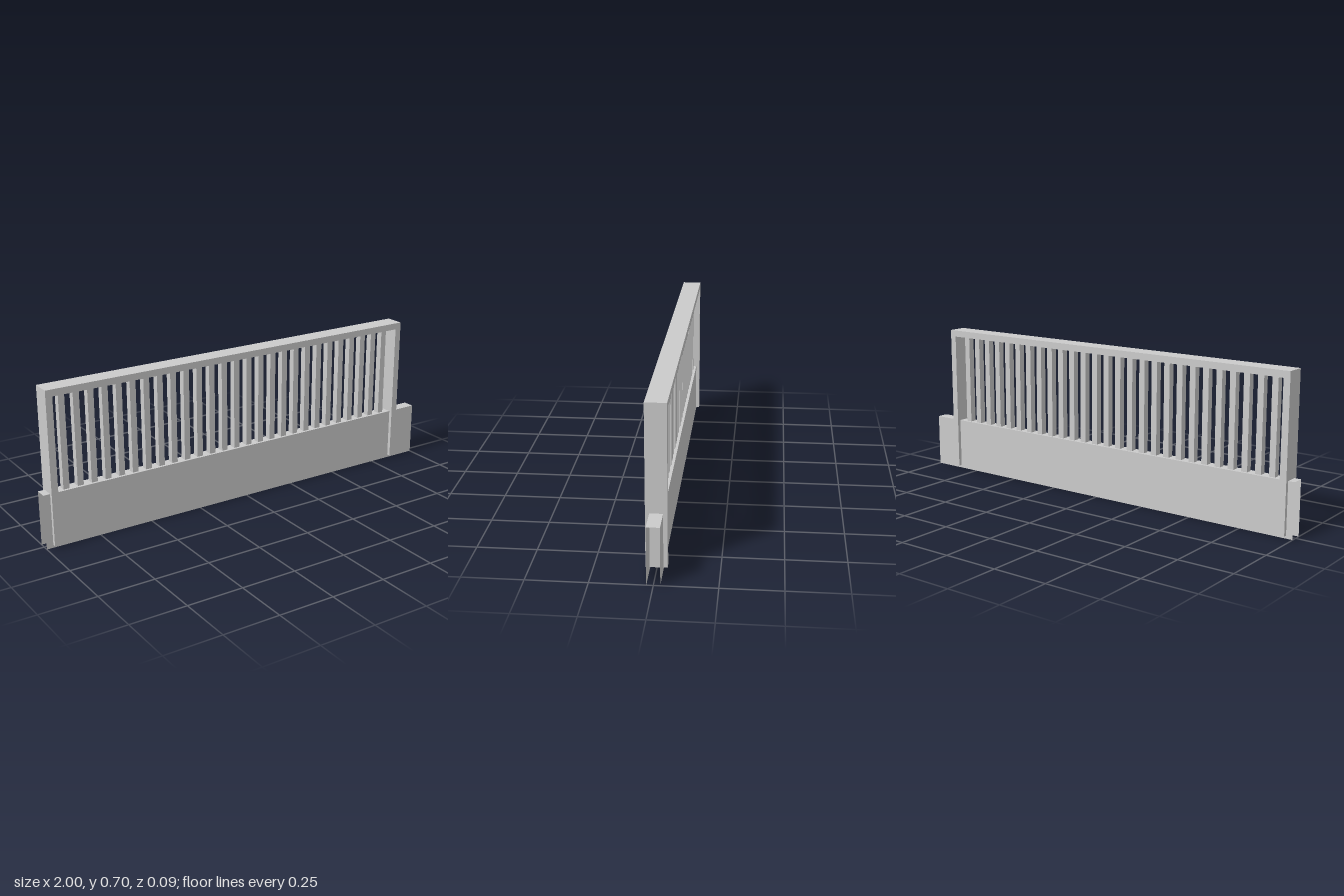
import * as THREE from 'three';

export function createModel() {
  const model = new THREE.Group();
  const material = new THREE.MeshStandardMaterial({ color: 0xcccccc, flatShading: true });
  const sheet = new THREE.MeshStandardMaterial({ color: 0xcccccc, flatShading: true, side: THREE.DoubleSide });

  const add = (name, geometry, mat, x, y, z) => {
    const mesh = new THREE.Mesh(geometry, mat);
    mesh.name = name;
    mesh.position.set(x, y, z);
    model.add(mesh);
    return mesh;
  };

  const baseTop = 0.245, baseDepth = 0.054;
  const frameLeft = -0.97, frameRight = 0.88, frameTop = 0.698, frameBottom = 0.013;
  const bar = 0.03, frameDepth = 0.087;

  // Base: thin inverted channel, open below and at both ends
  for (const s of [1, -1]) {
    add(s > 0 ? 'baseFrontPanel' : 'baseBackPanel',
      new THREE.PlaneGeometry(2, baseTop), sheet, 0, baseTop / 2, s * baseDepth / 2)
      .rotation.y = s > 0 ? 0 : Math.PI;
  }
  add('baseTopPanel', new THREE.PlaneGeometry(2, baseDepth), sheet, 0, baseTop, 0).rotation.x = -Math.PI / 2;

  // Frame: two legs and a top rail cut as one arch
  const arch = new THREE.Shape([
    [frameLeft, frameBottom], [frameLeft + bar, frameBottom],
    [frameLeft + bar, frameTop - bar], [frameRight - bar, frameTop - bar],
    [frameRight - bar, frameBottom], [frameRight, frameBottom],
    [frameRight, frameTop], [frameLeft, frameTop],
  ].map(([x, y]) => new THREE.Vector2(x, y)));
  add('frame', new THREE.ExtrudeGeometry(arch, { depth: frameDepth, bevelEnabled: false }),
    material, 0, 0, -frameDepth / 2);

  // Slats: evenly spaced between the legs
  const slatCount = 27;
  const firstLeg = frameLeft + bar / 2;
  const pitch = (frameRight - frameLeft - bar) / (slatCount + 1);
  const slatHeight = frameTop - bar - baseTop;
  const slat = new THREE.BoxGeometry(0.028, slatHeight, 0.03);
  for (let i = 1; i <= slatCount; i++) {
    add('slat', slat, material, firstLeg + i * pitch, baseTop + slatHeight / 2, 0);
  }
  return model;
}
